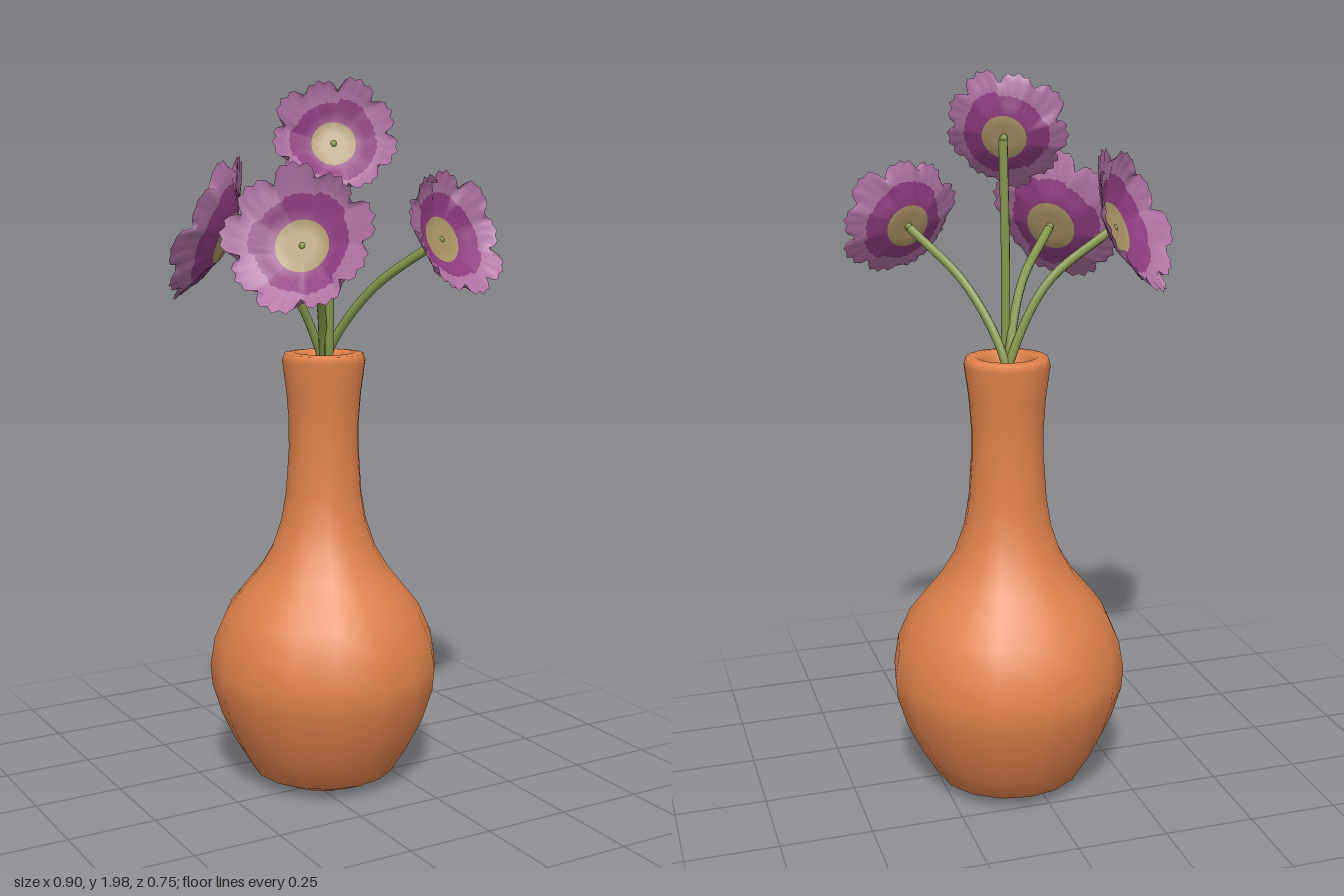
import * as THREE from 'three';

const mat = (name, color, side = THREE.FrontSide) => {
  const m = new THREE.MeshStandardMaterial({ color, side });
  m.name = name;
  return m;
};

const PETALS = 9;
// outline of one petal tip: deep gap, then small teeth
const TIP = [0.80, 0.92, 0.97, 0.93, 1.0, 0.95, 0.98, 0.91];

// Cupped flower head facing +z: disc, inner ring and outer petals are material groups
function flowerHead(R, phase) {
  const n = PETALS * TIP.length;
  const pos = [], index = [];
  const rings = [0, 0.17, 0.34, 0.48, 0.62, 0.8, 1];
  rings.forEach((t, k) => {
    for (let j = 0; j < n; j++) {
      const a = (j / n) * Math.PI * 2 + phase;
      const p = (j % TIP.length) / TIP.length;
      const petal = Math.floor(j / TIP.length);
      const size = 0.96 + 0.04 * Math.sin(petal * 2.4 + phase);
      let r = t;
      if (k === 4) r += 0.045 * Math.sin(petal * 1.9 + phase) + 0.02 * (j % 2);
      if (k === 6) r = TIP[j % TIP.length] * size;
      const out = Math.max(0, t - 0.34) / 0.66;
      const h = 0.27 * Math.pow(out, 0.9) + 0.05 * out * Math.sin(p * Math.PI)
        + 0.035 * out * Math.sin(petal * 2.7 + phase);
      pos.push(Math.cos(a) * r * R, Math.sin(a) * r * R, h * R);
    }
  });
  for (let k = 0; k < rings.length - 1; k++) {
    for (let j = 0; j < n; j++) {
      const q = (j + 1) % n;
      const a = k * n + j, b = a + n, c = (k + 1) * n + q, d = k * n + q;
      if (k > 0) index.push(a, b, d);
      index.push(b, c, d);
    }
  }
  const g = new THREE.BufferGeometry();
  g.setAttribute('position', new THREE.Float32BufferAttribute(pos, 3));
  g.setIndex(index);
  g.addGroup(0, n * 9, 0);
  g.addGroup(n * 9, n * 12, 1);
  g.addGroup(n * 21, n * 12, 2);
  g.computeVertexNormals();
  return g;
}

export function createModel() {
  const model = new THREE.Group();
  const clay = mat('terracotta', 0xdf814b);
  const stemGreen = mat('stem green', 0x84964a);
  const headMats = [
    mat('flower centre tan', 0xac9566, THREE.DoubleSide),
    mat('inner petal magenta', 0x8f3c80, THREE.DoubleSide),
    mat('outer petal mauve', 0xb072a2, THREE.DoubleSide),
  ];

  // Vase: one turned profile, up the outside and down into the neck
  const profile = [
    [0, 0.005], [0.127, 0.003], [0.205, 0.04], [0.25, 0.115], [0.292, 0.2], [0.32, 0.29],
    [0.325, 0.35], [0.312, 0.43], [0.277, 0.51], [0.23, 0.57], [0.185, 0.625], [0.147, 0.69],
    [0.12, 0.77], [0.107, 0.85], [0.099, 0.97], [0.099, 1.05], [0.105, 1.13], [0.117, 1.22],
    [0.111, 1.24], [0.085, 1.243], [0.068, 1.23], [0.06, 1.18], [0.058, 1.08], [0, 1.06],
  ].map(([r, y]) => new THREE.Vector2(r, y));
  const vase = new THREE.Mesh(new THREE.LatheGeometry(profile, 16), clay);
  vase.name = 'vase';
  vase.position.set(0.06, 0, -0.06);
  model.add(vase);

  // Flowers: head centre, facing direction, radius, and the stem from neck to head
  const flowers = [
    { name: 'topFlower', at: [0.04, 1.81, 0.025], face: [-0.42, 0.33, 0.82], R: 0.175,
      stem: [[0.055, 1.07, -0.03], [0.05, 1.24, -0.015], [0.045, 1.5, 0.0]] },
    { name: 'backRightFlower', at: [-0.265, 1.565, -0.01], face: [-0.68, 0.4, -0.6], R: 0.212,
      stem: [[0.085, 1.07, -0.06], [0.045, 1.24, -0.055], [-0.06, 1.43, -0.04]] },
    { name: 'frontRightFlower', at: [-0.14, 1.55, 0.175], face: [-0.62, 0.36, 0.68], R: 0.208,
      stem: [[0.075, 1.07, -0.075], [0.05, 1.24, -0.045], [-0.015, 1.42, 0.045]] },
    { name: 'frontLeftFlower', at: [0.257, 1.56, 0.225], face: [0.27, 0.36, 0.89], R: 0.185,
      stem: [[0.05, 1.07, -0.08], [0.067, 1.24, -0.05], [0.14, 1.42, 0.06]] },
  ];
  flowers.forEach(({ name, at, face, R, stem }, i) => {
    const flower = new THREE.Group();
    flower.name = name;
    const centre = new THREE.Vector3(...at);
    const dir = new THREE.Vector3(...face).normalize();

    const head = new THREE.Mesh(flowerHead(R, i * 1.3), headMats);
    head.name = 'flowerHead';
    head.position.copy(centre);
    head.quaternion.setFromUnitVectors(new THREE.Vector3(0, 0, 1), dir);

    // the stem tip pokes slightly through the disc
    const path = new THREE.CatmullRomCurve3([
      ...stem.map((p) => new THREE.Vector3(...p)),
      centre.clone().addScaledVector(dir, -0.015),
    ]);
    const stalk = new THREE.Mesh(new THREE.TubeGeometry(path, 20, 0.0125, 8), stemGreen);
    stalk.name = 'stem';
    const tip = new THREE.Mesh(new THREE.SphereGeometry(0.011, 8, 6), stemGreen);
    tip.name = 'stemTip';
    tip.position.copy(centre).addScaledVector(dir, -0.006);

    flower.add(head, stalk, tip);
    model.add(flower);
  });
  return model;
}
